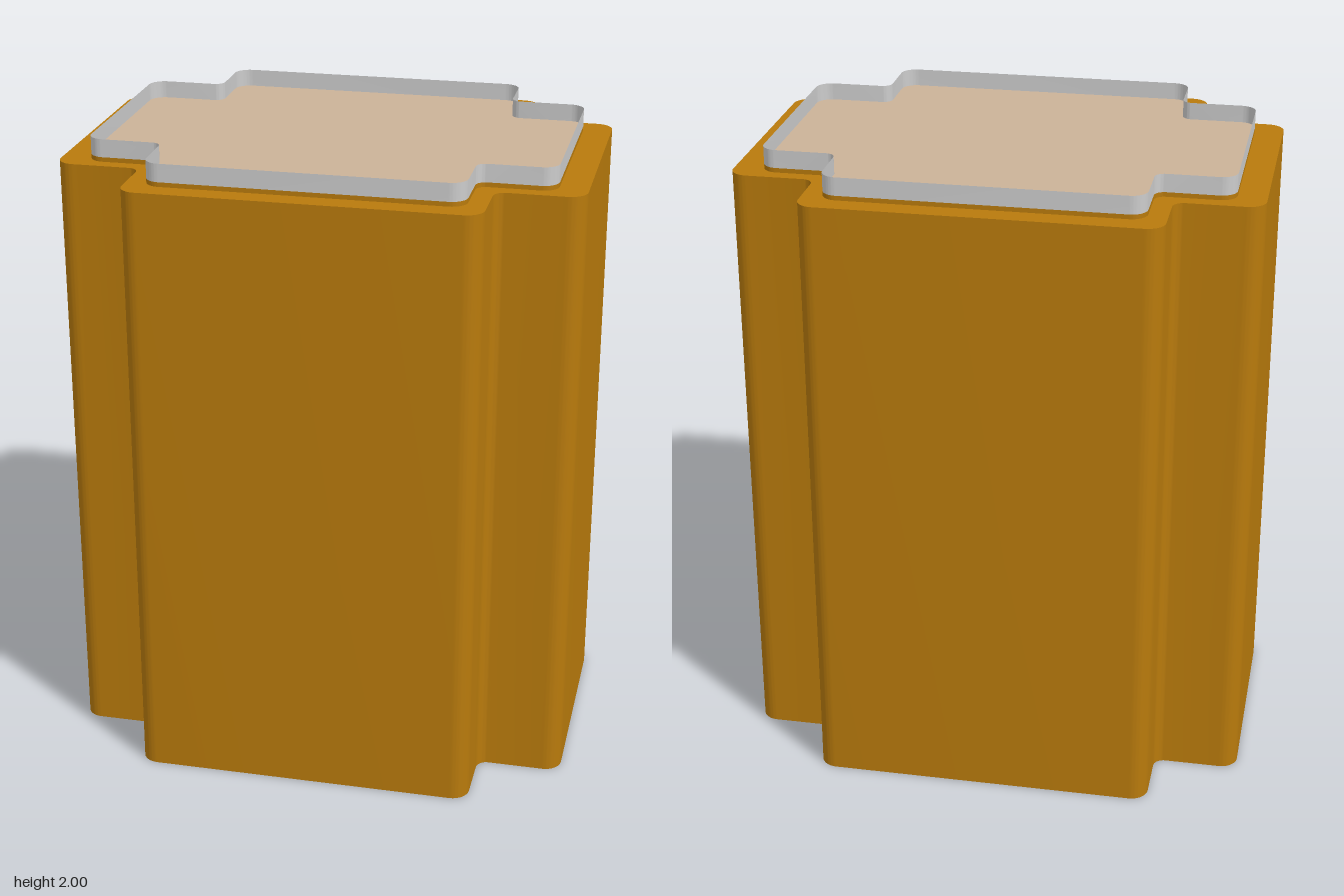
import * as THREE from 'three';
import { toCreasedNormals } from 'three/addons/utils/BufferGeometryUtils.js';

const orange = new THREE.MeshStandardMaterial({ color: 0xb87a0c });
const tan = new THREE.MeshStandardMaterial({ color: 0xcbb298 });
const grey = new THREE.MeshStandardMaterial({ color: 0xcccccc, side: THREE.DoubleSide });

// Rounded cross outline: arms reach x1 and z1, notches sit at (x0, z0)
function crossShape(x1, z1, x0, z0, outer, inner) {
  const s = new THREE.Shape();
  const H = Math.PI / 2;
  for (let q = 0; q < 4; q++) {
    // Odd quadrants swap the two axes of the cross
    const [a1, b1, a0, b0] = q % 2 ? [z1, x1, z0, x0] : [x1, z1, x0, z0];
    const turn = q * H, c = Math.round(Math.cos(turn)), n = Math.round(Math.sin(turn));
    const arc = (x, y, r, from, to, cw) =>
      s.absarc(x * c - y * n, x * n + y * c, r, from + turn, to + turn, cw);
    arc(a1 - outer, b0 - outer, outer, 0, H, false);
    arc(a0 + inner, b0 + inner, inner, -H, -2 * H, true);
    arc(a0 - outer, b1 - outer, outer, 0, H, false);
  }
  s.closePath();
  return s;
}

// Solid prism of a shape between two heights
function prism(shape, y0, y1) {
  const g = new THREE.ExtrudeGeometry(shape, { depth: y1 - y0, bevelEnabled: false, curveSegments: 8 });
  g.rotateX(-Math.PI / 2).translate(0, y0, 0);
  return toCreasedNormals(g, 0.6);
}

// Open upright band along a shape's outline
function band(shape, y0, y1) {
  const pts = shape.extractPoints(8).shape;
  const pos = [];
  pts.forEach((p, i) => {
    const q = pts[(i + 1) % pts.length];
    if (p.distanceTo(q) < 1e-6) return;
    pos.push(p.x, y0, -p.y, q.x, y0, -q.y, q.x, y1, -q.y);
    pos.push(p.x, y0, -p.y, q.x, y1, -q.y, p.x, y1, -p.y);
  });
  const g = new THREE.BufferGeometry();
  g.setAttribute('position', new THREE.Float32BufferAttribute(pos, 3));
  return toCreasedNormals(g, 0.6);
}

export function createModel() {
  const group = new THREE.Group();
  const add = (name, geometry, material) => {
    const m = new THREE.Mesh(geometry, material);
    m.name = name;
    group.add(m);
  };
  const bodyShape = crossShape(0.8, 0.617, 0.535, 0.388, 0.055, 0.035);
  const topShape = crossShape(0.712, 0.549, 0.476, 0.345, 0.049, 0.031);

  // Tall cross-shaped body with a low step on top
  add('body', prism(bodyShape, 0, 1.93), orange);
  add('step', prism(topShape, 1.93, 1.944), orange);

  // Recessed panel inside a thin raised rim
  const panel = new THREE.ShapeGeometry(topShape, 8).rotateX(-Math.PI / 2).translate(0, 1.946, 0);
  add('topPanel', panel, tan);
  add('rim', band(topShape, 1.944, 2), grey);
  return group;
}
